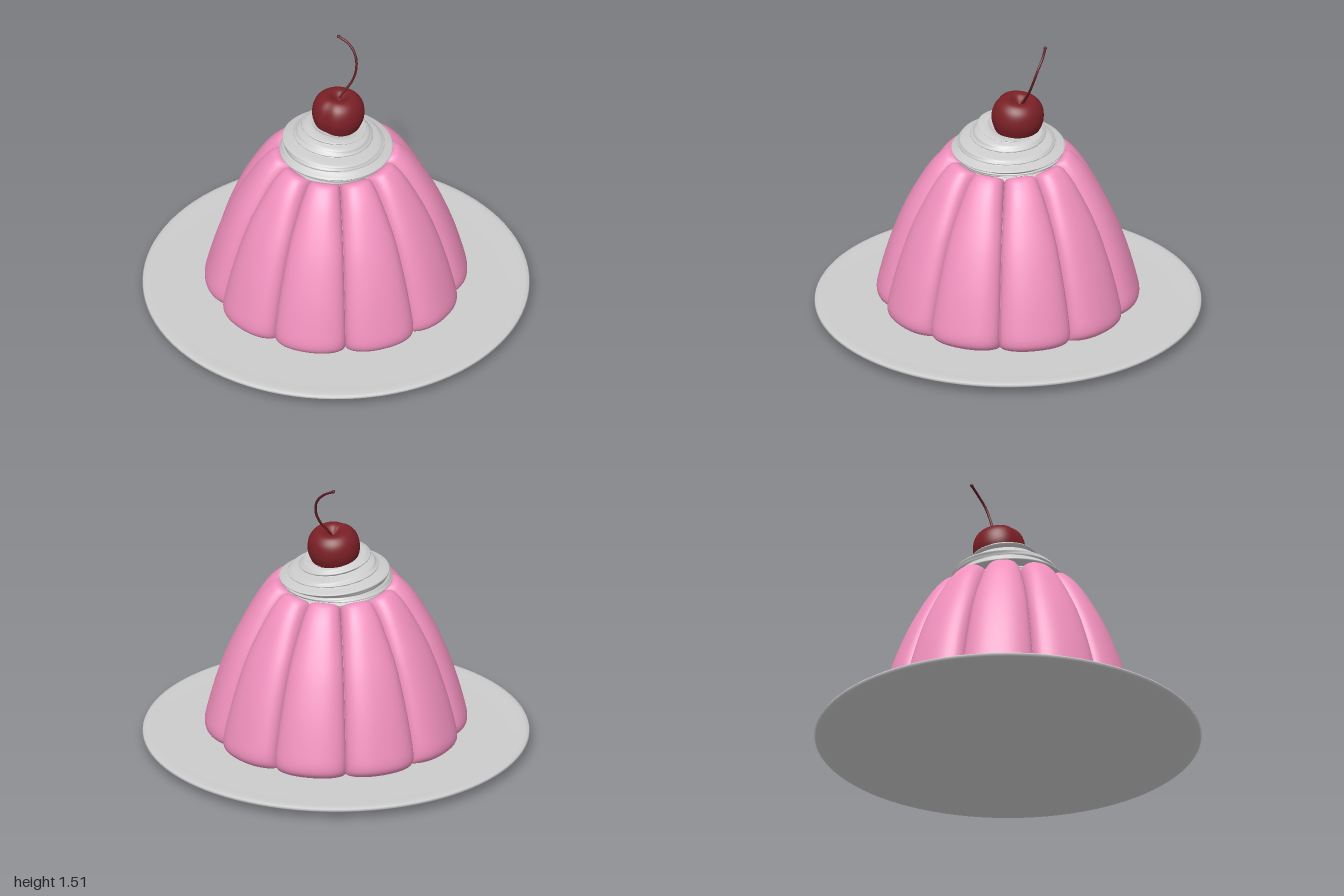
import * as THREE from 'three';

const TAU = Math.PI * 2;
const mat = (color) => new THREE.MeshStandardMaterial({ color });
const spline = (pts) => new THREE.SplineCurve(pts.map(([x, y]) => new THREE.Vector2(x, y)));

// Closed surface of revolution-like rings: fn(i / around, t) returns a point, t runs bottom to top
function rings(around, up, fn) {
  const pos = [], index = [];
  for (let j = 0; j <= up; j++) {
    for (let i = 0; i < around; i++) {
      pos.push(...fn(i / around, j / up));
      if (j === up) continue;
      const a = j * around + i, b = j * around + (i + 1) % around;
      index.push(a, a + around, b, b, a + around, b + around);
    }
  }
  const geo = new THREE.BufferGeometry();
  geo.setAttribute('position', new THREE.Float32BufferAttribute(pos, 3));
  geo.setIndex(index);
  geo.computeVertexNormals();
  return geo;
}

function addMesh(group, name, geo, material) {
  const mesh = new THREE.Mesh(geo, material);
  mesh.name = name;
  group.add(mesh);
  return mesh;
}

// Shallow plate with a thin rounded rim
function plateGeometry() {
  const pts = [[0, 0], [0.25, 0], [0.5, 0.008], [0.8, 0.024], [0.95, 0.036], [0.99, 0.044], [1, 0.052],
    [0.995, 0.061], [0.975, 0.066], [0.94, 0.064], [0.85, 0.061], [0, 0.06]];
  return new THREE.LatheGeometry(pts.map(([x, y]) => new THREE.Vector2(x, y)), 96);
}

// Ten fat lobes: blend between the profile at a crease and the profile on a lobe
function puddingGeometry() {
  const lobes = 10, perLobe = 24;
  const crest = spline([[0.6, 0.06], [0.65, 0.075], [0.678, 0.12], [0.66, 0.22], [0.605, 0.41], [0.525, 0.61],
    [0.42, 0.8], [0.345, 0.89], [0.3, 0.908], [0.25, 0.88], [0.18, 0.84], [0, 0.84]]);
  const crease = spline([[0.54, 0.06], [0.57, 0.075], [0.585, 0.12], [0.57, 0.22], [0.515, 0.41], [0.44, 0.61],
    [0.34, 0.76], [0.28, 0.825], [0.25, 0.845], [0.22, 0.85], [0.17, 0.84], [0, 0.84]]);
  return rings(lobes * perLobe, 66, (s, t) => {
    const lobe = Math.floor(s * lobes + 1e-6);
    const u = Math.sin(((s * lobes - lobe) * 2 - 1) * Math.PI / 2);
    const w = Math.pow(Math.max(0, 1 - Math.pow(Math.abs(u), 2.6)), 1 / 2.2);
    const p = crease.getPoint(t).lerp(crest.getPoint(t), w);
    const a = (lobe + u / 2) * TAU / lobes;
    return [p.x * Math.cos(a), p.y, p.x * Math.sin(a)];
  });
}

// Whipped cream with spiralling folds, its top leaning a little
function creamGeometry() {
  const profile = spline([[0.2, 0.83], [0.245, 0.86], [0.255, 0.895], [0.28, 0.92], [0.275, 0.955], [0.235, 0.985],
    [0.19, 1.01], [0.168, 1.045], [0.14, 1.065], [0.09, 1.05], [0, 1.03]]);
  return rings(120, 130, (s, t) => {
    const a = s * TAU, p = profile.getPoint(t);
    const fade = Math.min(1, (1 - t) * 5);
    const fold = Math.abs(Math.sin(a / 2 + t * 22)) - 0.6;
    const fine = Math.sin(a * 2 + t * 75 + Math.sin(a * 3) * 0.6);
    const r = p.x + fade * (0.028 * fold + 0.004 * fine);
    const x = r * Math.cos(a), z = r * Math.sin(a);
    const lean = Math.max(0, t - 0.2);
    return [x - 0.015 * lean, p.y + lean * (z - x) * 0.17, z - 0.02 * lean];
  });
}

// Cherry with a stem dimple and a soft cleft down the front
function cherryGeometry() {
  const profile = spline([[0, -0.118], [0.05, -0.112], [0.1, -0.08], [0.13, -0.02], [0.135, 0.03], [0.122, 0.08],
    [0.09, 0.113], [0.055, 0.115], [0.025, 0.095], [0, 0.08]]);
  return rings(64, 40, (s, t) => {
    const a = s * TAU, p = profile.getPoint(t);
    const d = a - Math.PI / 2;
    const r = p.x * (1 - 0.07 * Math.exp(-d * d * 14));
    return [r * Math.cos(a), p.y, r * Math.sin(a)];
  });
}

export function createModel() {
  const model = new THREE.Group();
  model.name = 'puddingOnPlate';
  const grey = mat(0xcccccc);

  addMesh(model, 'plate', plateGeometry(), grey);
  addMesh(model, 'pudding', puddingGeometry(), mat(0xf090bd));
  addMesh(model, 'whippedCream', creamGeometry(), grey);

  const cherry = addMesh(model, 'cherry', cherryGeometry(), mat(0x7a2026));
  cherry.position.set(-0.015, 1.103, -0.045);
  cherry.rotation.x = -0.12;

  // Curved stem with a small knob at its end
  const stemMat = mat(0x5c1a1f);
  const path = new THREE.CatmullRomCurve3([[-0.03, 1.17, -0.06], [-0.01, 1.22, -0.09], [0.02, 1.28, -0.125],
    [0.03, 1.34, -0.15], [0.015, 1.41, -0.17], [-0.03, 1.465, -0.18], [-0.088, 1.497, -0.172]]
    .map((p) => new THREE.Vector3(...p)));
  addMesh(model, 'cherryStem', new THREE.TubeGeometry(path, 40, 0.0065, 8), stemMat);
  const knob = addMesh(model, 'stemEnd', new THREE.SphereGeometry(0.009, 12, 8), stemMat);
  knob.position.copy(path.getPoint(1));

  return model;
}
